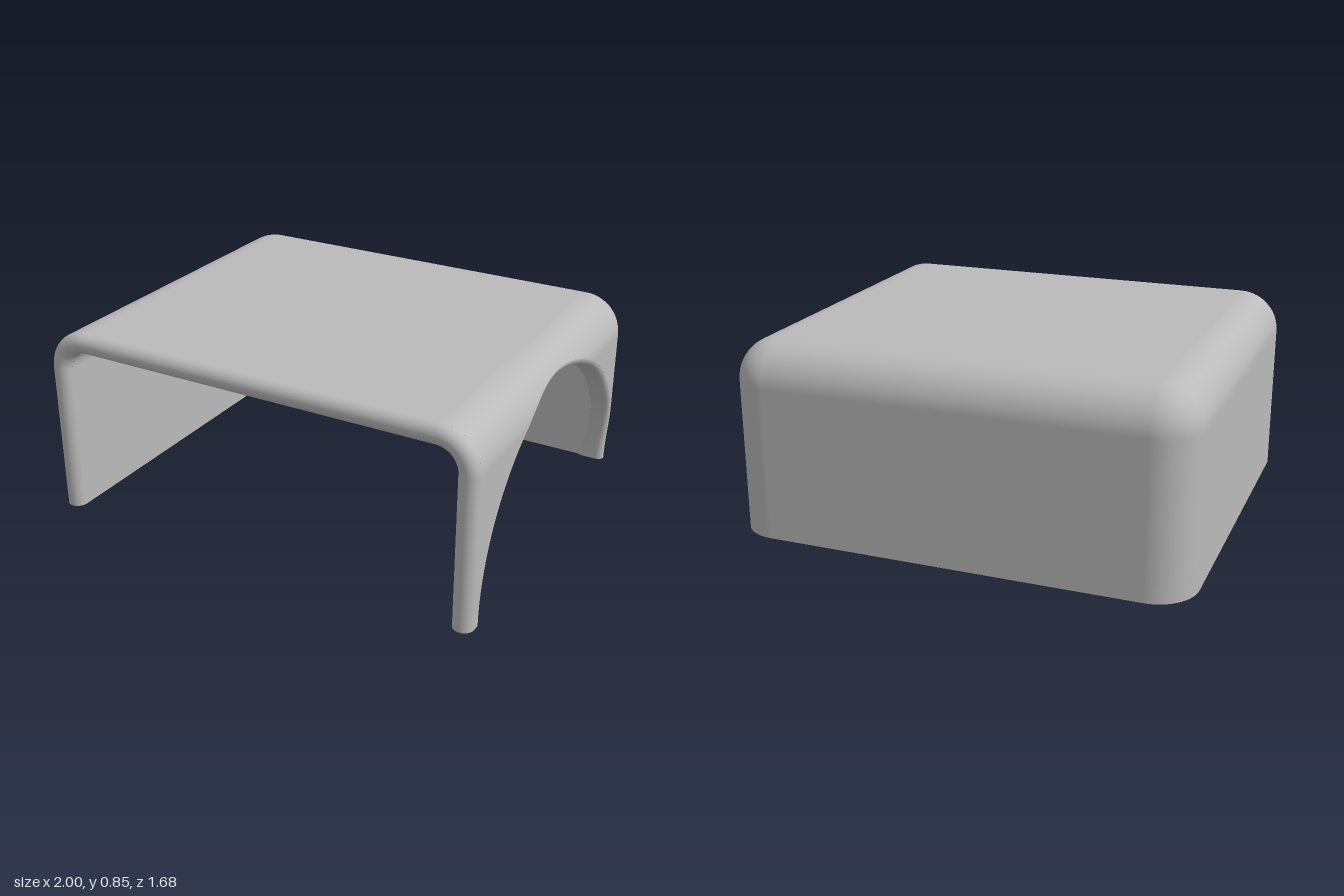
import * as THREE from 'three';

// Core box that the rounded edges are swept around
const CX = 0.82, CY = 0.67, CZ = -0.66;
const OUTER = 0.18, INNER = 0.09;       // edge radii of outside and inside skins
const LIP = (OUTER - INNER) / 2, FRONT = 0.84 - LIP;
const ARCH = 0.74, BEVEL = 0.03;        // arch radius and its rounded outer edge

// Smooth grid surface; fn(i, j) returns [point, normal]
function grid(nu, nv, fn) {
  const pos = [], nor = [], idx = [], P = [], N = [];
  for (let i = 0; i <= nu; i++) for (let j = 0; j <= nv; j++) {
    const [p, n] = fn(i, j);
    P.push(p); N.push(n);
    pos.push(p.x, p.y, p.z); nor.push(n.x, n.y, n.z);
  }
  const tri = (a, b, c) => {
    const f = P[b].clone().sub(P[a]).cross(P[c].clone().sub(P[a]));
    if (f.lengthSq() < 1e-16) return;
    const m = N[a].clone().add(N[b]).add(N[c]);
    if (f.dot(m) >= 0) idx.push(a, b, c); else idx.push(a, c, b);
  };
  for (let i = 0; i < nu; i++) for (let j = 0; j < nv; j++) {
    const a = i * (nv + 1) + j, b = a + nv + 1;
    tri(a, b, b + 1);
    tri(a, b + 1, a + 1);
  }
  const g = new THREE.BufferGeometry();
  g.setAttribute('position', new THREE.Float32BufferAttribute(pos, 3));
  g.setAttribute('normal', new THREE.Float32BufferAttribute(nor, 3));
  g.setIndex(idx);
  return g;
}

// Side height above x = 0 at a given (y, z)
function sideX(y, z, r) {
  const dy = Math.max(0, y - CY), dz = Math.max(0, CZ - z);
  return CX + Math.sqrt(Math.max(0, r * r - dy * dy - dz * dz));
}

// Side outline as (z, y): up the front, along the top, round and down the back
function outline(r) {
  const pts = [], h = CY + r, q = Math.PI / 2;
  for (let i = 0; i < 12; i++) pts.push([FRONT, CY * i / 12]);
  for (let i = 0; i < 10; i++) pts.push([FRONT, CY + r * Math.sin(i / 10 * q)]);
  const topStart = pts.length;
  for (let i = 0; i < 32; i++) pts.push([FRONT + (CZ - FRONT) * i / 32, h]);
  for (let i = 0; i < 10; i++) pts.push([CZ - r * Math.sin(i / 10 * q), CY + r * Math.cos(i / 10 * q)]);
  for (let i = 0; i <= 16; i++) pts.push([CZ - r, CY * (1 - i / 16)]);
  return { pts, topStart };
}

// One side with its rounded edges; hole is the arch radius, or 0 for a solid side
function sideSkin(r, side, hole, facing) {
  const { pts } = outline(r), n = 32;
  return grid(pts.length - 1, n, (i, j) => {
    const [bz, by] = pts[i], len = Math.hypot(bz, by);
    const k = hole / len + (1 - hole / len) * Math.sin(j / n * Math.PI / 2);
    const z = bz * k, y = by * k, x = sideX(y, z, r);
    const nrm = new THREE.Vector3(side * (x - CX), Math.max(0, y - CY), Math.min(0, z - CZ));
    return [new THREE.Vector3(side * x, y, z), nrm.normalize().multiplyScalar(facing)];
  });
}

// Top and back between the two sides
function middleSkin(r, facing) {
  const { pts, topStart } = outline(r);
  return grid(pts.length - 1 - topStart, 1, (i, j) => {
    const [z, y] = pts[i + topStart];
    const nrm = new THREE.Vector3(0, Math.max(0, y - CY), Math.min(0, z - CZ));
    return [new THREE.Vector3(j ? CX : -CX, y, z), nrm.normalize().multiplyScalar(facing)];
  });
}

// Half-round lip along the front opening
function lipGeometry() {
  const path = [[1, 0, 0]];
  for (let i = 0; i <= 12; i++) path.push([1, CY, i / 12 * Math.PI / 2]);
  for (let i = 12; i >= 0; i--) path.push([-1, CY, i / 12 * Math.PI / 2]);
  path.push([-1, 0, 0]);
  return grid(path.length - 1, 12, (i, j) => {
    const [s, y, a] = path[i], t = j / 12 * Math.PI;
    const dx = s * Math.cos(a), dy = Math.sin(a), d = INNER + LIP + LIP * Math.cos(t);
    return [
      new THREE.Vector3(s * CX + dx * d, y + dy * d, FRONT + LIP * Math.sin(t)),
      new THREE.Vector3(dx * Math.cos(t), dy * Math.cos(t), Math.sin(t)),
    ];
  });
}

// Thickness of the wall around the arch, with a rounded outer edge
function archRim() {
  return grid(72, 7, (i, j) => {
    const t = i / 72 * Math.PI, c = Math.cos(t), s = Math.sin(t);
    const a = Math.max(0, j - 1) / 6 * Math.PI / 2, R = ARCH + BEVEL;
    const rad = R - BEVEL * Math.cos(a);
    const x = j === 0 ? sideX(ARCH * s, ARCH * c, INNER)
      : sideX(R * s, R * c, OUTER) - BEVEL + BEVEL * Math.sin(a);
    return [
      new THREE.Vector3(x, rad * s, rad * c),
      new THREE.Vector3(Math.sin(a), -Math.cos(a) * s, -Math.cos(a) * c),
    ];
  });
}

// Flat underside from a list of (x, z) corners
function foot(points) {
  const g = new THREE.ShapeGeometry(new THREE.Shape(points.map(p => new THREE.Vector2(...p))));
  return g.rotateX(Math.PI / 2);
}

// Points on a circle arc in plan
function arc(cx, cz, r, a0, a1, n = 10) {
  return Array.from({ length: n + 1 }, (_, i) => {
    const a = a0 + (a1 - a0) * i / n;
    return [cx + r * Math.cos(a), cz + r * Math.sin(a)];
  });
}

export function createModel() {
  const group = new THREE.Group();
  const grey = new THREE.MeshStandardMaterial({ color: 0xbababa });
  grey.name = 'plain grey';
  const add = (name, geometry) => {
    const mesh = new THREE.Mesh(geometry, grey);
    mesh.name = name;
    group.add(mesh);
  };

  // Skins of the hollow cover
  for (const [label, r, facing] of [['outer', OUTER, 1], ['inner', INNER, -1]]) {
    add(label + 'ArchedSide', sideSkin(r, 1, r === OUTER ? ARCH + BEVEL : ARCH, facing));
    add(label + 'SolidSide', sideSkin(r, -1, 0, facing));
    add(label + 'TopAndBack', middleSkin(r, facing));
  }

  // Edges of the openings
  add('frontLip', lipGeometry());
  add('archRim', archRim());

  // Undersides of the walls
  const PI = Math.PI, R = ARCH + BEVEL, mid = CX + INNER + LIP;
  const aIn = -Math.asin((ARCH + CZ) / INNER), aOut = -Math.asin((R + CZ) / OUTER);
  const edge = sideX(0, -R, OUTER) - BEVEL;
  add('wallFoot', foot([
    ...arc(-mid, FRONT, LIP, PI, 0),
    ...arc(-CX, CZ, INNER, -PI, -PI / 2),
    ...arc(CX, CZ, INNER, -PI / 2, aIn),
    ...arc(edge, -R, BEVEL, PI / 2, 0.1, 5),
    ...arc(CX, CZ, OUTER, aOut, -PI / 2),
    ...arc(-CX, CZ, OUTER, -PI / 2, -PI),
  ]));
  add('legFoot', foot([
    ...arc(mid, FRONT, LIP, 0, PI),
    [CX + INNER, ARCH],
    ...arc(CX + OUTER - BEVEL, R, BEVEL, -PI / 2, 0, 5),
  ]));
  return group;
}
